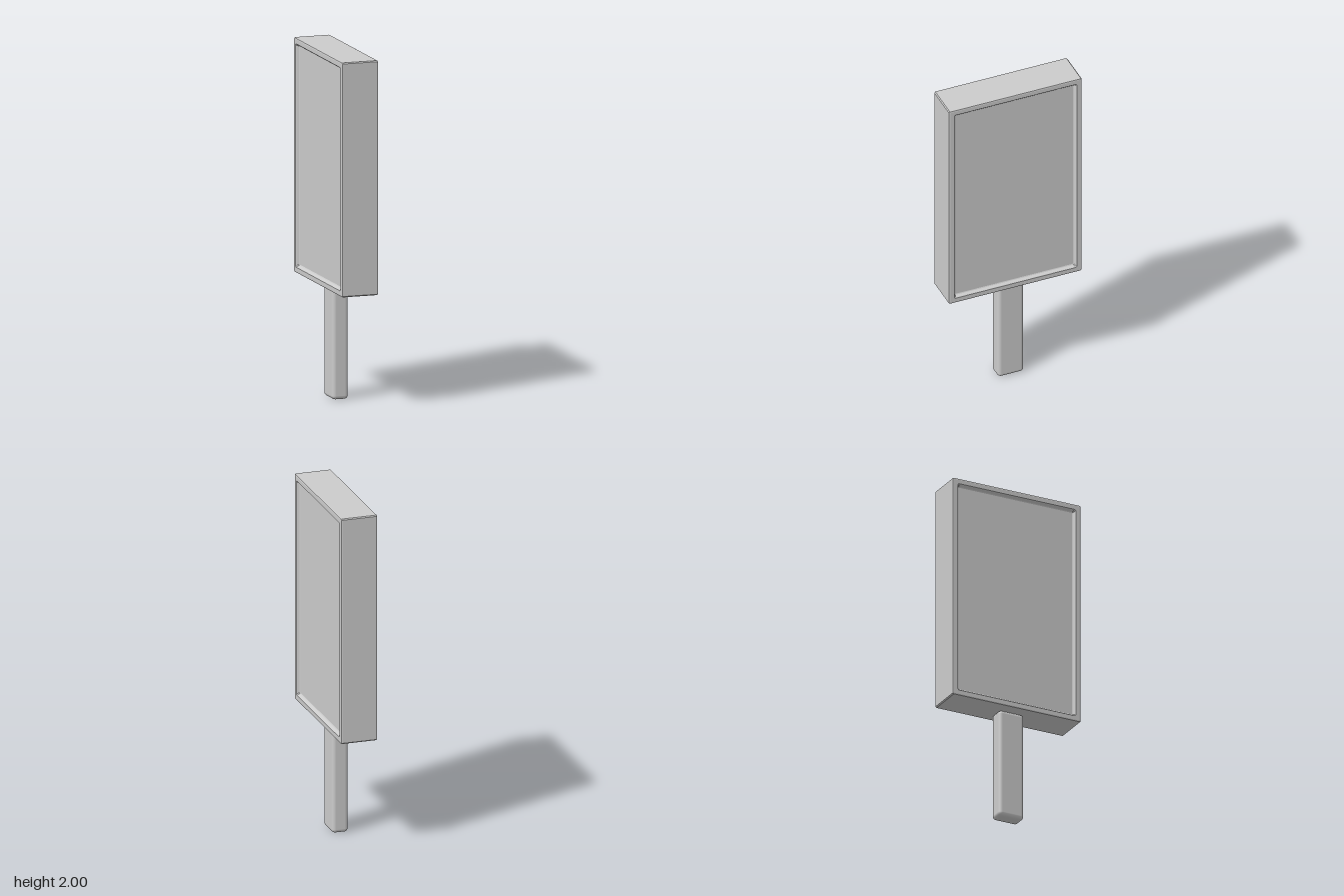
import * as THREE from 'three';
import { RoundedBoxGeometry } from 'three/addons/geometries/RoundedBoxGeometry.js';

const material = new THREE.MeshStandardMaterial({ color: 0xcccccc, flatShading: true });
const smooth = new THREE.MeshStandardMaterial({ color: 0xcccccc });

// Rectangle loop with cut corners in the y-z plane, counterclockwise seen from +x.
function loop(x, inset, cut, halfY, halfZ) {
  const h = halfY - inset, w = halfZ - inset;
  return [
    [w, -h + cut], [w, h - cut], [w - cut, h], [-w + cut, h],
    [-w, h - cut], [-w, -h + cut], [-w + cut, -h], [w - cut, -h],
  ].map(([u, y]) => [x, y, -u]);
}

// Skin consecutive loops and close both ends with a flat fan.
function skin(loops) {
  const n = loops[0].length, last = (loops.length - 1) * n, index = [];
  for (let i = 0; i < loops.length - 1; i++) {
    for (let j = 0; j < n; j++) {
      const a = i * n + j, b = i * n + (j + 1) % n;
      index.push(a, b, b + n, a, b + n, a + n);
    }
  }
  for (let j = 1; j < n - 1; j++) {
    index.push(0, j + 1, j);
    index.push(last, last + j, last + j + 1);
  }
  const geometry = new THREE.BufferGeometry();
  geometry.setAttribute('position', new THREE.Float32BufferAttribute(loops.flat(2), 3));
  geometry.setIndex(index);
  const flat = geometry.toNonIndexed();
  flat.computeVertexNormals();
  return flat;
}

export function createModel() {
  const group = new THREE.Group();

  // Sign case: bevelled outer edge, narrow rim and a recessed panel on each broad side
  const bottom = 0.653, top = 2, halfY = (top - bottom) / 2, halfZ = 0.408;
  const side = [ // x, inset, corner cut: panel edge to outer wall
    [0.088, 0.047, 0.004],
    [0.091, 0.042, 0.004],
    [0.104, 0.036, 0.005],
    [0.108, 0.032, 0.006],
    [0.108, 0.008, 0.006],
    [0.106, 0.002, 0.006],
    [0.102, 0, 0.006],
  ];
  const profile = [
    ...side.map(([x, inset, cut]) => [-x, inset, cut]),
    ...side.slice().reverse(),
  ];
  const signCase = new THREE.Mesh(
    skin(profile.map(([x, inset, cut]) => loop(x, inset, cut, halfY, halfZ))), material);
  signCase.name = 'signCase';
  signCase.position.y = (top + bottom) / 2;
  group.add(signCase);

  // Post under the case
  const post = new THREE.Mesh(new RoundedBoxGeometry(0.096, 0.653, 0.16, 4, 0.022), smooth);
  post.name = 'post';
  post.position.y = 0.3265;
  group.add(post);

  return group;
}
